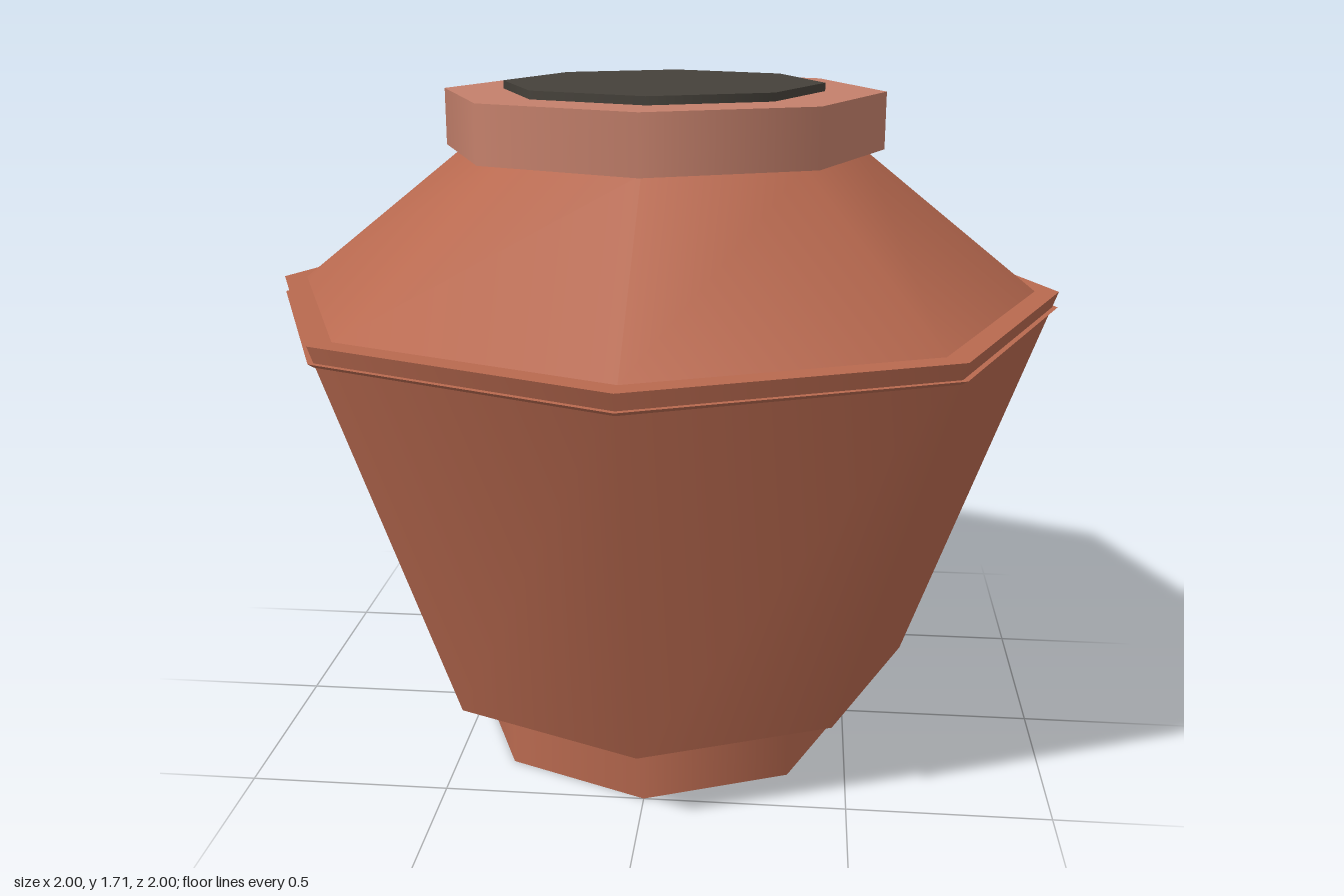
import * as THREE from 'three';

export function createModel() {
  const model = new THREE.Group();
  const clay = new THREE.MeshStandardMaterial({ color: 0xb8694f });
  const paleClay = new THREE.MeshStandardMaterial({ color: 0xc4806b });
  const dark = new THREE.MeshStandardMaterial({ color: 0x45413a });

  // Eight-sided section between two heights, with smooth sides and flat caps
  function section(name, y0, y1, bottomRadius, topRadius, material) {
    const geometry = new THREE.CylinderGeometry(topRadius, bottomRadius, y1 - y0, 8);
    const mesh = new THREE.Mesh(geometry, material);
    mesh.name = name;
    mesh.position.y = (y0 + y1) / 2;
    model.add(mesh);
  }

  section('foot', 0, 0.2, 0.5, 0.5, clay);
  section('body', 0.2, 1.2, 0.65, 1.0, clay);
  // Thin ledge just under the rim
  section('rimLedge', 1.15, 1.16, 0.985, 1.0, clay);
  section('shoulder', 1.2, 1.55, 0.94, 0.5, clay);
  section('collar', 1.55, 1.69, 0.55, 0.55, paleClay);
  // Dark mouth, slightly proud of the collar
  section('mouth', 1.69, 1.71, 0.4, 0.4, dark);

  return model;
}
